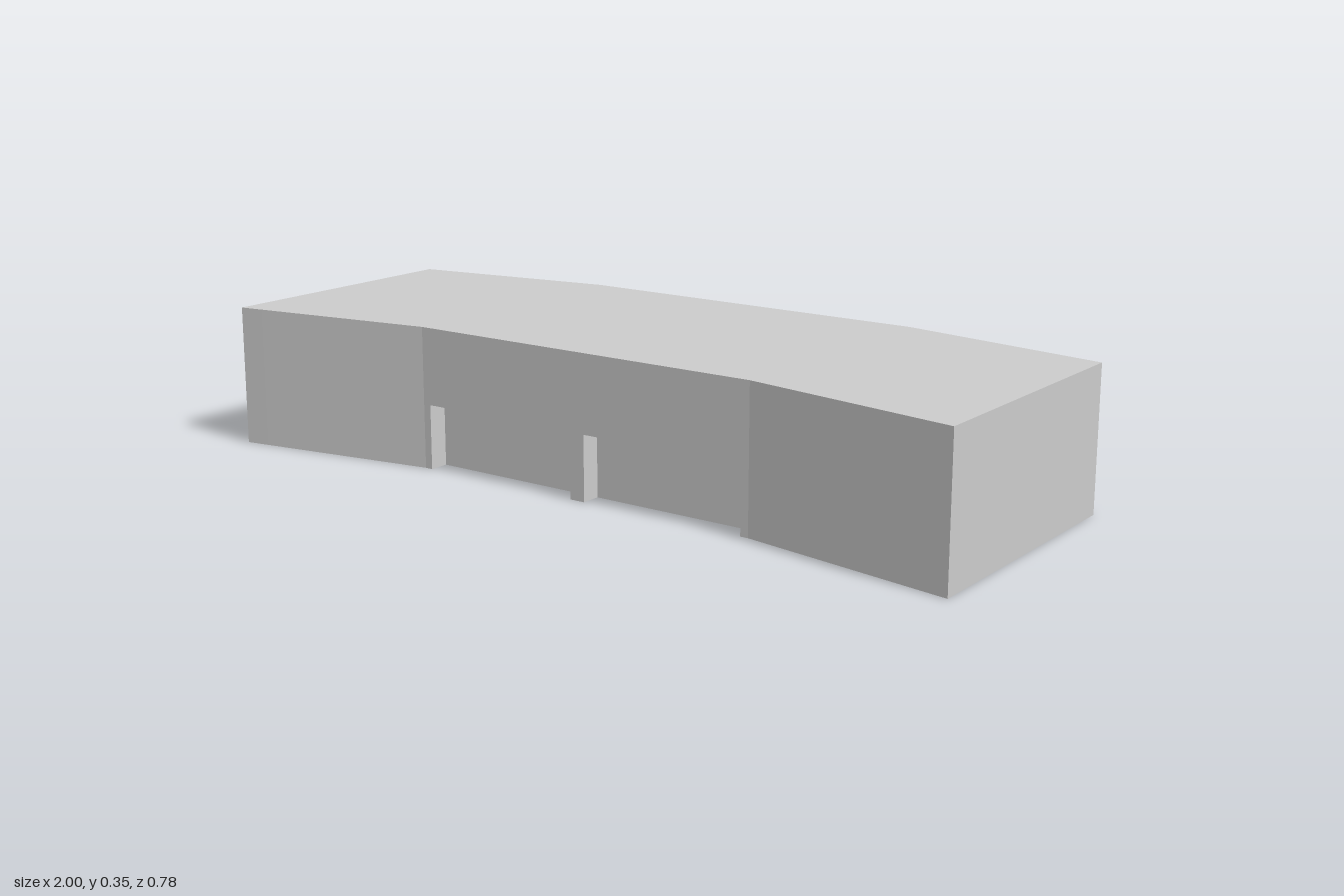
import * as THREE from 'three';

const H = 0.35;            // overall height
const POCKET_H = 0.16;     // recess height
const FRONT_Z = 0.3, POCKET_Z = 0.25;
const KINK = 0.47;

// plan outline of one long side: [x, z offset]; the body bends forward at both ends
const bend = [[-1, 0.09], [-0.94, 0.08], [-KINK, 0], [KINK, 0], [0.94, 0.08], [1, 0.09]];
const front = bend.map(([x, d]) => [x, FRONT_Z + d]);
const back = bend.map(([x, d]) => [x, -0.39 + d]);
const pockets = [[-0.45, -0.02], [0.02, 0.45]];

export function createModel() {
  const group = new THREE.Group();
  const material = new THREE.MeshStandardMaterial({
    color: 0xcccccc, side: THREE.DoubleSide, flatShading: true,
  });
  const add = (name, geometry) => {
    const mesh = new THREE.Mesh(geometry, material);
    mesh.name = name;
    group.add(mesh);
    return mesh;
  };

  // upright sheet following a plan path, given in order left to right as seen from outside
  const wall = (name, path, height = H) => {
    const pos = [];
    for (let i = 0; i < path.length - 1; i++) {
      const [ax, az] = path[i], [bx, bz] = path[i + 1];
      pos.push(ax, 0, az, bx, 0, bz, bx, height, bz);
      pos.push(ax, 0, az, bx, height, bz, ax, height, az);
    }
    const geometry = new THREE.BufferGeometry();
    geometry.setAttribute('position', new THREE.Float32BufferAttribute(pos, 3));
    geometry.computeVertexNormals();
    return add(name, geometry);
  };

  // level sheet facing up, or down when flipped
  const level = (name, outline, y, down = false) => {
    const shape = new THREE.Shape(outline.map(([x, z]) => new THREE.Vector2(x, down ? z : -z)));
    const geometry = new THREE.ShapeGeometry(shape);
    geometry.rotateX(down ? Math.PI / 2 : -Math.PI / 2);
    geometry.translate(0, y, 0);
    return add(name, geometry);
  };

  // top, back and end walls; the underside stays open
  level('top', [...front, ...[...back].reverse()], H);
  wall('backWall', [...back].reverse());
  wall('leftEnd', [front[5], back[5]]);
  wall('rightEnd', [back[0], front[0]]);
  wall('frontRightWing', front.slice(0, 3));
  wall('frontLeftWing', front.slice(3));

  // straight middle of the front, notched at the bottom for the two recesses
  const face = new THREE.Shape();
  face.moveTo(-KINK, 0);
  for (const [a, b] of pockets) {
    face.lineTo(a, 0);
    face.lineTo(a, POCKET_H);
    face.lineTo(b, POCKET_H);
    face.lineTo(b, 0);
  }
  face.lineTo(KINK, 0);
  face.lineTo(KINK, H);
  face.lineTo(-KINK, H);
  add('frontWall', new THREE.ShapeGeometry(face)).position.z = FRONT_Z;

  // shallow recesses: sides and back panel, plus the ceiling
  for (const [a, b] of pockets) {
    const path = [[a, FRONT_Z], [a, POCKET_Z], [b, POCKET_Z], [b, FRONT_Z]];
    wall('recess', path, POCKET_H);
    level('recessCeiling', path, POCKET_H, true);
  }

  // narrow lip under the left end
  level('bottomLip', [front[4], front[5], back[5], back[4]], 0, true);

  return group;
}
